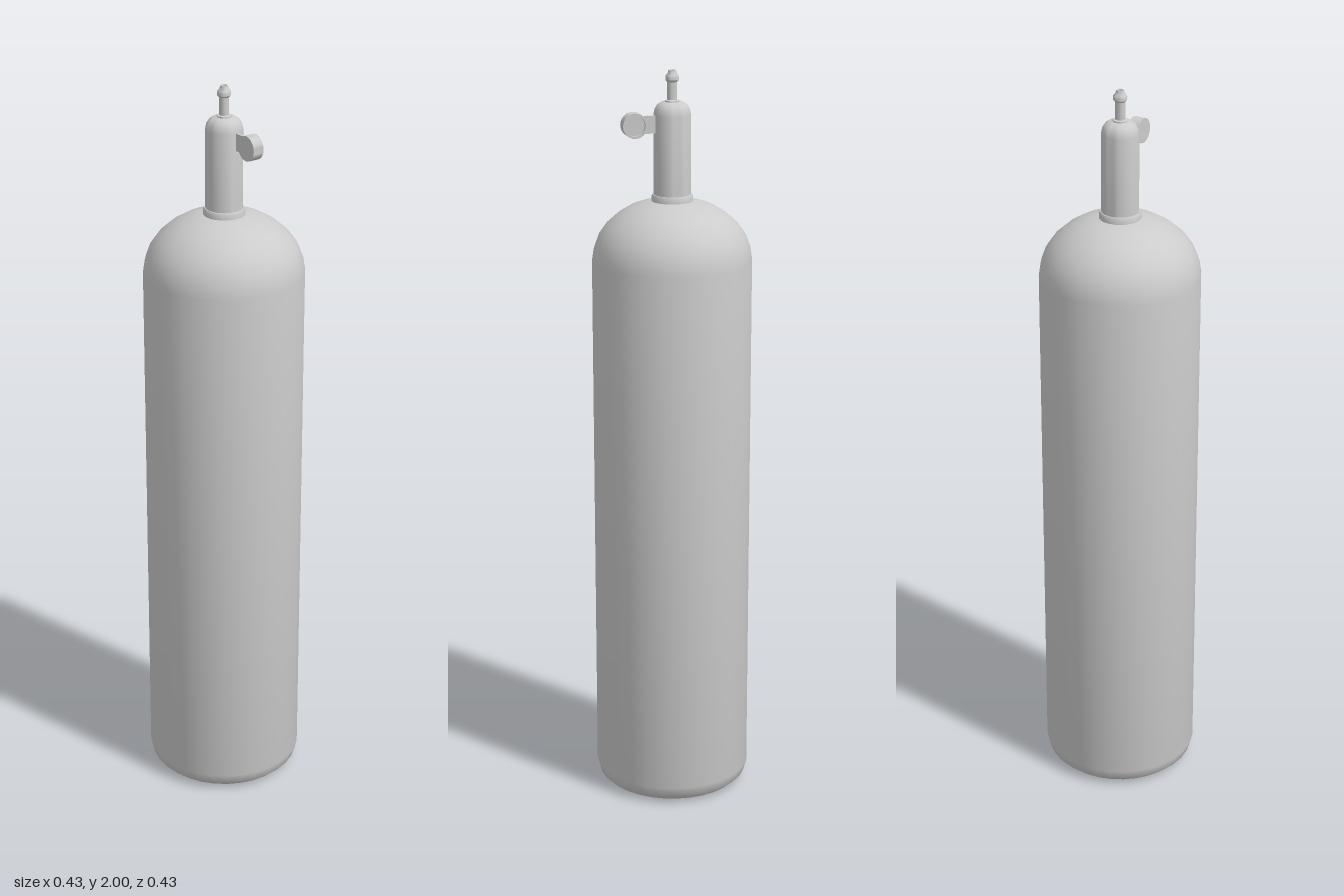
import * as THREE from 'three';
import { toCreasedNormals } from 'three/addons/utils/BufferGeometryUtils.js';

const material = new THREE.MeshStandardMaterial({ color: 0xcccccc });

function addMesh(parent, name, geometry, crease = 0.7) {
  const mesh = new THREE.Mesh(toCreasedNormals(geometry, crease), material);
  mesh.name = name;
  parent.add(mesh);
  return mesh;
}

// Profile of [radius, height] pairs, listed from the bottom up
const lathe = (profile, sides = 32) =>
  new THREE.LatheGeometry(profile.map(([r, y]) => new THREE.Vector2(r, y)), sides);

export function createModel() {
  const model = new THREE.Group();
  model.name = 'gasCylinder';

  // Tank with a bevelled foot and a domed shoulder
  addMesh(model, 'tank', lathe([
    [0, 0], [0.165, 0], [0.19, 0.007], [0.206, 0.022], [0.213, 0.05],
    [0.213, 1.5], [0.208, 1.532], [0.196, 1.565], [0.175, 1.595],
    [0.145, 1.622], [0.11, 1.643], [0.075, 1.655], [0.04, 1.661], [0, 1.661],
  ]), 0.9);

  // Collar ring where the valve meets the tank
  addMesh(model, 'collar', lathe([
    [0.045, 1.655], [0.055, 1.655], [0.055, 1.67], [0.052, 1.676], [0.045, 1.676],
  ]));

  // Valve column with a rounded top
  addMesh(model, 'valveBody', lathe([
    [0.049, 1.65], [0.049, 1.885], [0.046, 1.9], [0.039, 1.911],
    [0.028, 1.918], [0, 1.92],
  ]));

  // Outlet nozzle with a flared tip
  addMesh(model, 'nozzle', lathe([
    [0.019, 1.912], [0.019, 1.922], [0.013, 1.924], [0.013, 1.97], [0.018, 1.975],
    [0.018, 1.985], [0.012, 1.992], [0.01, 2], [0.007, 2], [0.007, 1.99], [0, 1.99],
  ], 16));

  // Pressure gauge on the left side, its dial facing the back
  const gauge = new THREE.Group();
  gauge.name = 'gauge';
  gauge.position.set(0.104, 1.862, 0);
  model.add(gauge);

  const housing = addMesh(gauge, 'gaugeHousing', lathe([
    [0, -0.009], [0.033, -0.009], [0.033, 0.022], [0.027, 0.022], [0.027, 0.013], [0, 0.013],
  ], 24));
  housing.rotation.x = -Math.PI / 2;

  const needle = addMesh(gauge, 'gaugeNeedle', new THREE.BoxGeometry(0.003, 0.022, 0.002));
  needle.position.set(0.005, 0.005, -0.014);
  needle.rotation.z = -0.7;

  // Bracket joining the gauge to the valve
  const arm = addMesh(gauge, 'gaugeArm', new THREE.BoxGeometry(0.035, 0.046, 0.008));
  arm.position.set(-0.045, 0, -0.006);
  const lug = addMesh(gauge, 'gaugeLug', new THREE.BoxGeometry(0.014, 0.03, 0.012));
  lug.position.set(-0.03, 0, -0.006);

  return model;
}
